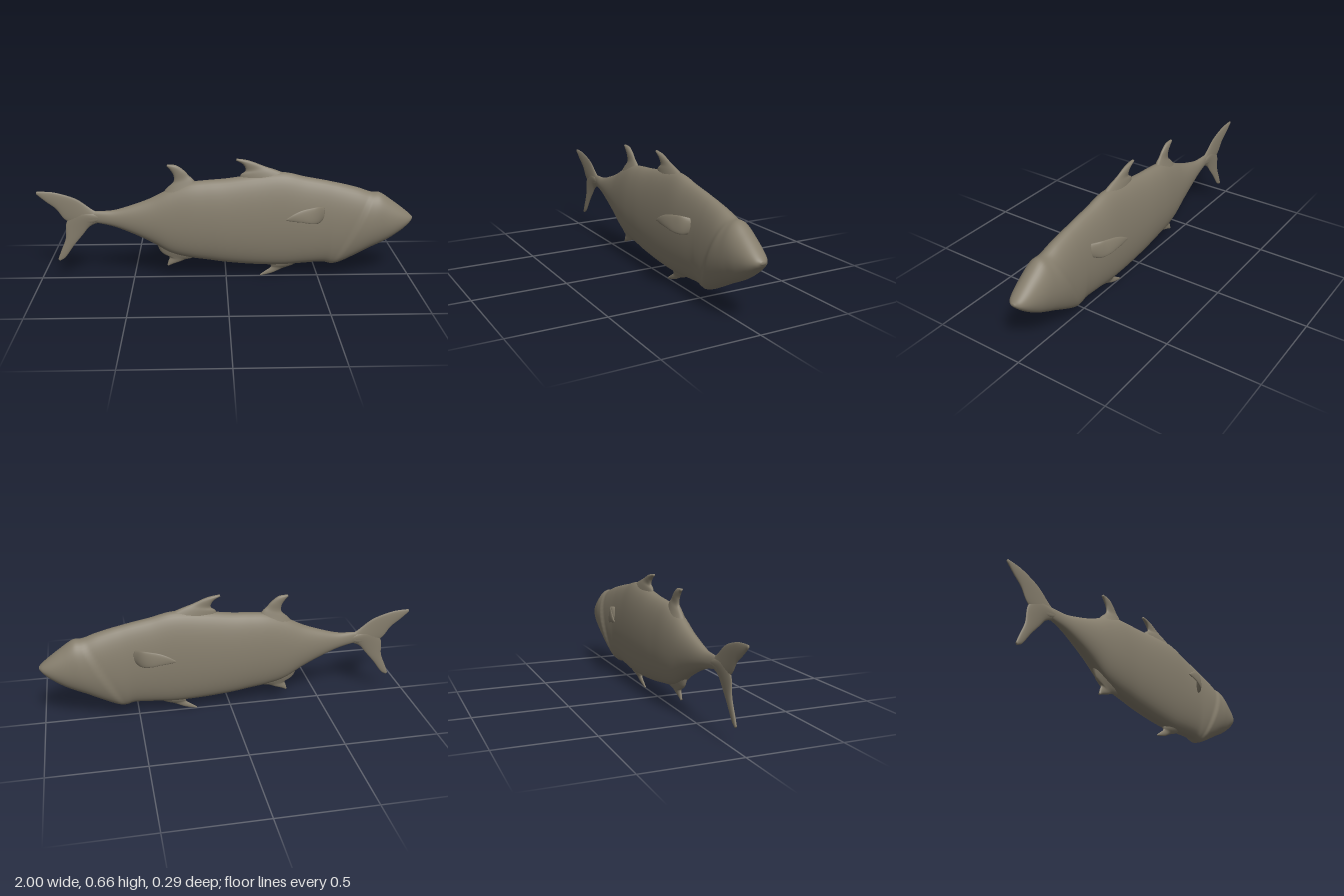
import * as THREE from 'three';

const skin = new THREE.MeshStandardMaterial({ color: 0x857d6c });
skin.name = 'olive grey skin';

// Closed skin through a list of equally sized rings, capped at both ends
function loft(rings) {
  const n = rings[0].length, pos = [], idx = [];
  rings.forEach(r => r.forEach(p => pos.push(p.x, p.y, p.z)));
  for (let i = 0; i < rings.length - 1; i++) {
    for (let j = 0; j < n; j++) {
      const a = i * n + j, b = i * n + (j + 1) % n;
      idx.push(a, b, a + n, b, b + n, a + n);
    }
  }
  [0, rings.length - 1].forEach((i, end) => {
    const c = new THREE.Vector3();
    rings[i].forEach(p => c.addScaledVector(p, 1 / n));
    const k = pos.length / 3;
    pos.push(c.x, c.y, c.z);
    for (let j = 0; j < n; j++) {
      const a = i * n + j, b = i * n + (j + 1) % n;
      if (end) idx.push(k, a, b); else idx.push(k, b, a);
    }
  });
  const g = new THREE.BufferGeometry();
  g.setAttribute('position', new THREE.Float32BufferAttribute(pos, 3));
  g.setIndex(idx);
  g.computeVertexNormals();
  return g;
}

const spline = pts => new THREE.CatmullRomCurve3(pts, false, 'catmullrom', 0.5);

// Body stations: x, bottom y, top y, half width
const stations = [
  [-0.78, 0.33, 0.37, 0.007], [-0.7, 0.322, 0.384, 0.014], [-0.6, 0.3, 0.39, 0.027],
  [-0.5, 0.26, 0.418, 0.042], [-0.4, 0.21, 0.455, 0.055], [-0.3, 0.15, 0.505, 0.066],
  [-0.2, 0.122, 0.54, 0.074], [-0.1, 0.107, 0.552, 0.078], [0, 0.092, 0.56, 0.081],
  [0.15, 0.078, 0.58, 0.082], [0.3, 0.073, 0.592, 0.081], [0.42, 0.082, 0.567, 0.079],
  [0.52, 0.088, 0.548, 0.077], [0.57, 0.078, 0.537, 0.078], [0.62, 0.09, 0.526, 0.079],
  [0.7, 0.13, 0.505, 0.079], [0.77, 0.168, 0.481, 0.076], [0.82, 0.192, 0.476, 0.072],
  [0.88, 0.225, 0.437, 0.064], [0.94, 0.268, 0.393, 0.05], [0.98, 0.305, 0.361, 0.032],
  [1, 0.33, 0.342, 0.01],
];

function bodyGeometry() {
  const outline = spline(stations.map(s => new THREE.Vector3(s[0], s[1], s[2])));
  const width = spline(stations.map(s => new THREE.Vector3(s[0], s[3], 0)));
  const rings = [], steps = 170, sides = 48;
  for (let i = 0; i <= steps; i++) {
    const { x, y: low, z: high } = outline.getPoint(i / steps);
    const w = width.getPoint(i / steps).y;
    const mid = low + (high - low) * 0.46;
    const ring = [];
    for (let j = 0; j < sides; j++) {
      const a = j / sides * Math.PI * 2, c = Math.cos(a), s = Math.sin(a);
      const y = mid + c * (c > 0 ? high - mid : mid - low);
      const round = Math.sign(s) * Math.pow(Math.abs(s), c > 0 ? 1 : 0.82);
      // Gill cover: the head steps outwards along a slanting edge
      const edge = 0.56 + 0.5 * (y - 0.08);
      const step = THREE.MathUtils.smoothstep(x, edge, edge + 0.035);
      ring.push(new THREE.Vector3(x, y, w * round * (1 + 0.14 * step)));
    }
    rings.push(ring);
  }
  return loft(rings);
}

// Fin from rows of [leading point, trailing point, half thickness]
function finGeometry(rows, mirror = 1) {
  const vec = p => new THREE.Vector3(p[0], p[1], (p[2] || 0) * mirror);
  const lead = spline(rows.map(r => vec(r[0])));
  const trail = spline(rows.map(r => vec(r[1])));
  const thick = spline(rows.map((r, i) => new THREE.Vector3(i, r[2], 0)));
  const centre = t => lead.getPoint(t).add(trail.getPoint(t)).multiplyScalar(0.5);
  const rings = [], steps = 28, sides = 20;
  for (let i = 0; i <= steps; i++) {
    const t = i / steps, c = centre(t);
    const along = centre(Math.min(1, t + 0.02)).sub(centre(Math.max(0, t - 0.02)));
    const half = lead.getPoint(t).sub(c);
    const normal = along.cross(half).normalize().multiplyScalar(thick.getPoint(t).y);
    rings.push(Array.from({ length: sides }, (_, j) => {
      const a = j / sides * Math.PI * 2;
      return c.clone().addScaledVector(half, Math.cos(a)).addScaledVector(normal, Math.sin(a));
    }));
  }
  return loft(rings);
}

const fins = {
  frontDorsalFin: [
    [[0.42, 0.54], [0.07, 0.53], 0.035], [[0.28, 0.598], [0.075, 0.578], 0.022],
    [[0.2, 0.626], [0.1, 0.598], 0.014], [[0.14, 0.65], [0.1, 0.618], 0.013],
    [[0.1, 0.661], [0.083, 0.64], 0.012], [[0.055, 0.667], [0.052, 0.656], 0.007]],
  rearDorsalFin: [
    [[-0.14, 0.5], [-0.36, 0.45], 0.04], [[-0.17, 0.553], [-0.315, 0.508], 0.022],
    [[-0.195, 0.577], [-0.277, 0.545], 0.014], [[-0.22, 0.605], [-0.277, 0.58], 0.013],
    [[-0.26, 0.633], [-0.293, 0.608], 0.012], [[-0.308, 0.638], [-0.311, 0.628], 0.007]],
  analFin: [
    [[-0.12, 0.16], [-0.38, 0.22], 0.04], [[-0.17, 0.119], [-0.36, 0.163], 0.022],
    [[-0.22, 0.105], [-0.34, 0.14], 0.014], [[-0.25, 0.093], [-0.308, 0.122], 0.01],
    [[-0.29, 0.079], [-0.314, 0.097], 0.008], [[-0.314, 0.068], [-0.32, 0.075], 0.005]],
  pelvicFin: [
    [[0.42, 0.115], [0.24, 0.115], 0.04], [[0.37, 0.072], [0.243, 0.072], 0.022],
    [[0.31, 0.048], [0.243, 0.054], 0.01], [[0.25, 0.02], [0.215, 0.033], 0.007],
    [[0.186, 0.004], [0.187, 0.013], 0.004]],
  upperTailLobe: [
    [[-0.64, 0.37], [-0.66, 0.33], 0.018], [[-0.7, 0.388], [-0.77, 0.31], 0.013],
    [[-0.79, 0.453], [-0.852, 0.335], 0.009], [[-0.89, 0.487], [-0.9, 0.398], 0.008],
    [[-0.95, 0.495], [-0.95, 0.438], 0.007], [[-0.996, 0.496], [-1, 0.482], 0.005]],
  lowerTailLobe: [
    [[-0.64, 0.33], [-0.66, 0.37], 0.018], [[-0.72, 0.305], [-0.79, 0.385], 0.013],
    [[-0.77, 0.25], [-0.85, 0.325], 0.009], [[-0.82, 0.19], [-0.86, 0.235], 0.008],
    [[-0.867, 0.125], [-0.89, 0.16], 0.007], [[-0.898, 0.104], [-0.908, 0.115], 0.005]],
};

// Side fin sweeps out from the flank and then backwards
const sideFin = [
  [[0.51, 0.42, 0.06], [0.51, 0.345, 0.06], 0.014], [[0.48, 0.43, 0.098], [0.48, 0.338, 0.1], 0.009],
  [[0.44, 0.428, 0.115], [0.44, 0.345, 0.125], 0.007], [[0.39, 0.42, 0.128], [0.39, 0.357, 0.136], 0.006],
  [[0.345, 0.402, 0.137], [0.345, 0.363, 0.139], 0.005], [[0.308, 0.378, 0.139], [0.308, 0.37, 0.139], 0.003]];

export function createModel() {
  const fish = new THREE.Group();
  fish.name = 'fish';
  const add = (name, geometry) => {
    const mesh = new THREE.Mesh(geometry, skin);
    mesh.name = name;
    fish.add(mesh);
  };
  add('body', bodyGeometry());
  for (const [name, rows] of Object.entries(fins)) add(name, finGeometry(rows));
  add('nearSideFin', finGeometry(sideFin, 1));
  add('farSideFin', finGeometry(sideFin, -1));
  return fish;
}
